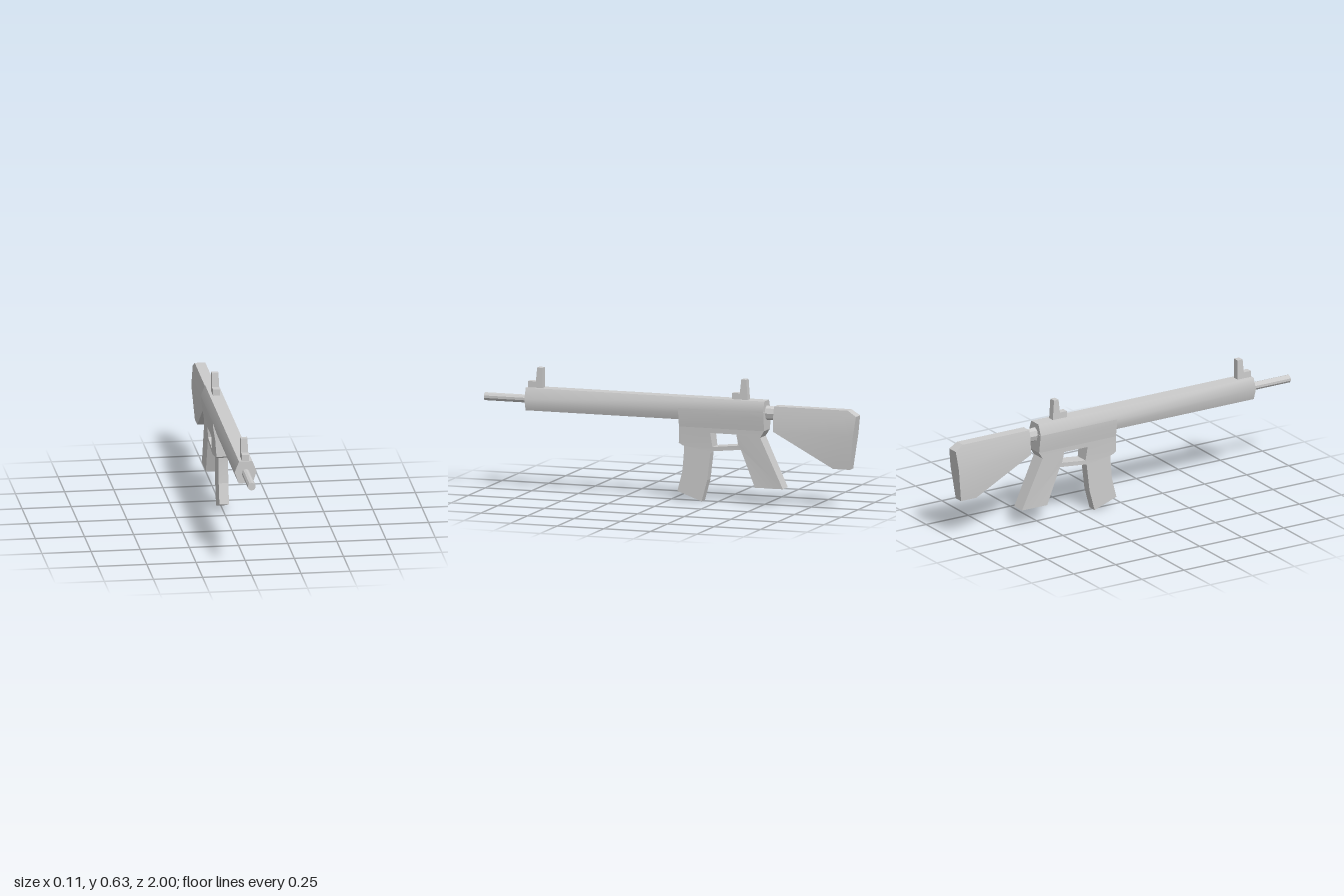
import * as THREE from 'three';
import { toCreasedNormals } from 'three/addons/utils/BufferGeometryUtils.js';

const material = new THREE.MeshStandardMaterial({ color: 0xcccccc });

// Stack of rectangles from bottom to top: [y, front z, back z, half width]
function loft(levels) {
  const pos = [], idx = [];
  for (const [y, zf, zb, w] of levels) pos.push(-w, y, zf, w, y, zf, w, y, zb, -w, y, zb);
  const last = (levels.length - 1) * 4;
  for (let r = 0; r < last; r += 4) {
    for (let i = 0; i < 4; i++) {
      const a = r + i, b = r + (i + 1) % 4;
      idx.push(a, b, b + 4, a, b + 4, a + 4);
    }
  }
  idx.push(0, 2, 1, 0, 3, 2, last, last + 1, last + 2, last, last + 2, last + 3);
  const g = new THREE.BufferGeometry();
  g.setAttribute('position', new THREE.Float32BufferAttribute(pos, 3));
  g.setIndex(idx);
  return g;
}

const toPoints = (list) => list.map(([z, y]) => new THREE.Vector2(z, y));

// Side outline of [z, y] points extruded across x; widthAt(y) may taper it
function sideProfile(outline, widthAt, hole) {
  const shape = new THREE.Shape(toPoints(outline));
  if (hole) shape.holes.push(new THREE.Path(toPoints(hole)));
  const g = new THREE.ExtrudeGeometry(shape, { depth: 2, bevelEnabled: false });
  g.translate(0, 0, -1).rotateY(-Math.PI / 2);
  const p = g.attributes.position;
  for (let i = 0; i < p.count; i++) p.setX(i, p.getX(i) * widthAt(p.getY(i)));
  return g;
}

export function createModel() {
  const model = new THREE.Group();
  const add = (name, geometry, crease = 0.75) => {
    const mesh = new THREE.Mesh(toCreasedNormals(geometry, crease), material);
    mesh.name = name;
    model.add(mesh);
    return mesh;
  };

  // Long six-sided body
  add('body', loft([
    [0.415, 0.77, -0.51, 0.036],
    [0.475, 0.77, -0.51, 0.056],
    [0.53, 0.77, -0.51, 0.034],
  ]));

  // Flared sides joining the body to the lower receiver
  add('receiver', loft([
    [0.38, -0.055, -0.512, 0.0435],
    [0.45, -0.055, -0.512, 0.0545],
    [0.475, -0.055, -0.512, 0.056],
  ]));

  // Magazine well, trigger guard and grip in one outline with the guard opening
  add('lowerReceiver', sideProfile(
    [[-0.055, 0.38], [-0.052, 0.295], [-0.075, 0.282], [-0.217, 0.26], [-0.385, 0.277],
      [-0.46, 0.088], [-0.61, 0.088], [-0.49, 0.345], [-0.512, 0.38]],
    (y) => THREE.MathUtils.clamp(THREE.MathUtils.mapLinear(y, 0.285, 0.38, 0.037, 0.0435), 0.037, 0.0435),
    [[-0.222, 0.355], [-0.362, 0.355], [-0.372, 0.298], [-0.232, 0.283]],
  ));

  // Curved magazine
  add('magazine', sideProfile(
    [[-0.075, 0.3], [-0.075, 0.25], [-0.067, 0.15], [-0.04, 0.046],
      [-0.17, 0], [-0.2, 0.11], [-0.217, 0.25], [-0.217, 0.29]],
    () => 0.0245,
  ), 0.1);

  // Barrel
  const barrel = new THREE.CylinderGeometry(0.0205, 0.0205, 0.25, 10);
  barrel.rotateX(Math.PI / 2).translate(0, 0.469, 0.875);
  add('barrel', barrel, 0.1);

  // Neck between body and stock
  const neck = new THREE.CylinderGeometry(0.034, 0.038, 0.07, 8);
  neck.rotateX(-Math.PI / 2).scale(0.8, 1, 1).translate(0, 0.468, -0.535);
  add('stockNeck', neck, 0.1);

  // Stock, widest at mid height
  add('stock', loft([
    [0.205, -0.875, -0.965, 0.025],
    [0.38, -0.557, -0.987, 0.04],
    [0.478, -0.557, -1, 0.031],
    [0.507, -0.56, -0.955, 0.027],
  ]), 0.4);

  // Sights: low step in front, post behind
  const sight = (name, outline) => add(name, sideProfile(outline, () => 0.0175), 0.1);
  sight('frontSight', [[0.765, 0.52], [0.765, 0.562], [0.722, 0.562], [0.715, 0.633],
    [0.685, 0.633], [0.685, 0.52]]);
  sight('rearSight', [[-0.33, 0.52], [-0.33, 0.562], [-0.372, 0.562], [-0.38, 0.633],
    [-0.407, 0.633], [-0.415, 0.52]]);

  return model;
}
